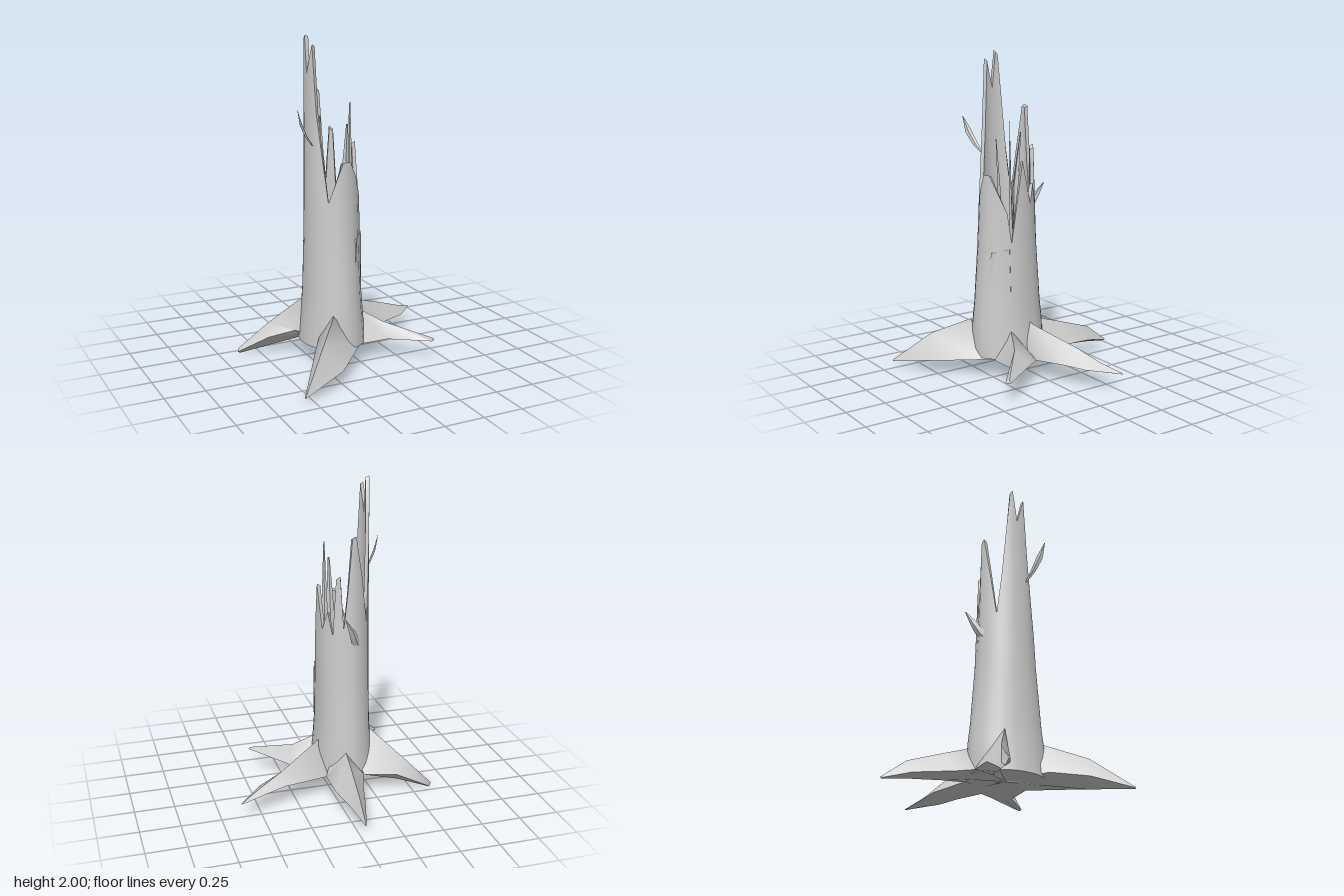
import * as THREE from 'three';
import { toCreasedNormals } from 'three/addons/utils/BufferGeometryUtils.js';

const material = new THREE.MeshStandardMaterial({ color: 0xcccccc, side: THREE.DoubleSide });

// Skin a list of closed rings (equal point counts) and cap both ends
function loft(name, rings, crease = 0.7) {
  const n = rings[0].length;
  const pts = rings.map(r => r.map(p => new THREE.Vector3(...p)));
  const centre = r => r.reduce((s, p) => s.add(p), new THREE.Vector3()).divideScalar(n);
  const first = centre(pts[0]), last = centre(pts[pts.length - 1]);
  const tris = [];
  for (let j = 0; j < n; j++) {
    const k = (j + 1) % n;
    tris.push([first, pts[0][j], pts[0][k]]);
    for (let i = 0; i + 1 < pts.length; i++) {
      const [a, b] = [pts[i], pts[i + 1]];
      tris.push([a[j], b[j], b[k]], [a[j], b[k], a[k]]);
    }
    const end = pts[pts.length - 1];
    tris.push([last, end[k], end[j]]);
  }
  // Turn every face outward by the sign of the enclosed volume
  const volume = tris.reduce((s, [a, b, c]) => s + a.dot(b.clone().cross(c)), 0);
  const solid = tris.filter(([a, b, c]) =>
    b.clone().sub(a).cross(c.clone().sub(a)).length() > 1e-9);
  if (volume < 0) solid.forEach(t => t.reverse());
  const geometry = new THREE.BufferGeometry().setFromPoints(solid.flat());
  geometry.computeVertexNormals();
  const mesh = new THREE.Mesh(toCreasedNormals(geometry, crease), material);
  mesh.name = name;
  return mesh;
}

// Trunk: elliptical wall that narrows upward
const CX = -0.11, CZ = 0.07;
const TAPER = [[0.12, 0.2, 0.24], [0.32, 0.18, 0.235], [0.45, 0.172, 0.22],
  [0.82, 0.167, 0.19], [1.25, 0.163, 0.168], [2.1, 0.163, 0.165]];

function wallPoint(deg, y, scale = 1) {
  let i = 0;
  while (i < TAPER.length - 2 && y > TAPER[i + 1][0]) i++;
  const [a, b] = [TAPER[i], TAPER[i + 1]];
  const t = (y - a[0]) / (b[0] - a[0]);
  const rad = THREE.MathUtils.degToRad(deg);
  return [
    CX + Math.cos(rad) * THREE.MathUtils.lerp(a[1], b[1], t) * scale, y,
    CZ + Math.sin(rad) * THREE.MathUtils.lerp(a[2], b[2], t) * scale,
  ];
}

// Broken rim: angle around the trunk (90 = front) and height
const RIM = [
  [-3, 1.35], [10, 1.1], [21, 0.85], [30, 1.03], [50, 1.15], [72, 1.26], [90, 1.26],
  [106, 1.15], [123, 1.02], [134, 1.27], [148, 1.55], [158, 1.95], [168, 1.86],
  [176, 1.78], [186, 2.0], [192, 1.98], [203, 1.66], [212, 1.38], [222, 1.12],
  [238, 1.4], [256, 1.67], [265, 1.66], [275, 1.32], [284, 1.1], [291, 1.43],
  [300, 1.41], [308, 1.05], [320, 1.2], [335, 1.08],
];

function buildTrunk() {
  const rows = [0.12, 0.32, 0.45, 0.82].map(y => RIM.map(([d]) => wallPoint(d, y)));
  rows.push(
    RIM.map(([d, top]) => wallPoint(d, top)),
    RIM.map(([d, top]) => wallPoint(d, top - 0.01, 0.86)),
    RIM.map(([d]) => wallPoint(d, 0.8, 0.84)),
  );
  return loft('trunk', rows, 0.75);
}

// Roots: each section is [one edge, ridge, other edge, underside]
const HUB = [[-0.09, 0.12, 0.05], [-0.1, 0.42, 0.06], [-0.11, 0.12, 0.07], [-0.1, 0.115, 0.06]];
const ROOTS = {
  backRoot: [
    [[-0.19, 0.13, -0.17], [-0.07, 0.29, -0.17], [0.05, 0.13, -0.13], [-0.07, 0.11, -0.15]],
    [[-0.15, 0.12, -0.27], [-0.06, 0.25, -0.3], [0.045, 0.12, -0.32], [-0.05, 0.09, -0.3]],
    [[-0.09, 0.1, -0.5], [-0.04, 0.18, -0.52], [0.005, 0.1, -0.5], [-0.04, 0.075, -0.51]],
    [[-0.04, 0.06, -0.665], [-0.036, 0.065, -0.67], [-0.032, 0.06, -0.665], [-0.036, 0.055, -0.665]],
  ],
  leftRoot: [
    [[0.05, 0.13, -0.13], [0.09, 0.315, 0], [0.17, 0.115, 0.04], [0.1, 0.11, -0.04]],
    [[0.34, 0.14, -0.2], [0.35, 0.21, -0.14], [0.35, 0.12, -0.04], [0.34, 0.108, -0.12]],
    [[0.48, 0.12, -0.235], [0.5, 0.15, -0.2], [0.48, 0.115, -0.1], [0.48, 0.104, -0.17]],
    [[0.625, 0.1, -0.275], [0.63, 0.103, -0.272], [0.63, 0.1, -0.265], [0.625, 0.097, -0.27]],
  ],
  frontLeftRoot: [
    [[0.17, 0.115, 0.04], [0.05, 0.3, 0.15], [0, 0.115, 0.25], [0.07, 0.11, 0.14]],
    [[0.225, 0.12, 0.12], [0.18, 0.22, 0.21], [0.19, 0.115, 0.25], [0.2, 0.11, 0.2]],
    [[0.435, 0.13, 0.405], [0.42, 0.14, 0.41], [0.405, 0.125, 0.427], [0.42, 0.12, 0.415]],
  ],
  frontRightRoot: [
    [[0, 0.115, 0.25], [-0.2, 0.335, 0.29], [-0.3, 0.14, 0.25], [-0.17, 0.1, 0.25]],
    [[-0.25, 0.09, 0.53], [-0.36, 0.235, 0.48], [-0.42, 0.11, 0.45], [-0.33, 0.06, 0.48]],
    [[-0.545, 0.03, 0.662], [-0.55, 0.036, 0.66], [-0.555, 0.03, 0.655], [-0.55, 0.025, 0.66]],
  ],
  rightRoot: [
    [[-0.33, 0.17, -0.01], [-0.28, 0.37, -0.02], [-0.19, 0.13, -0.17], [-0.26, 0.09, -0.09]],
    [[-0.47, 0.12, -0.09], [-0.46, 0.2, -0.13], [-0.4, 0.11, -0.19], [-0.43, 0.05, -0.14]],
    [[-0.638, 0.015, -0.195], [-0.625, 0.035, -0.21], [-0.605, 0.015, -0.222], [-0.62, 0.0, -0.21]],
  ],
};

// Splinter: a thin blade along a curve, w = half width, side = width direction
function splinter(name, path, side, widths) {
  const s = new THREE.Vector3(...side).normalize();
  return loft(name, path.map(([x, y, z], i) => {
    const w = widths[i];
    return [
      [x + s.x * w, y + s.y * w, z + s.z * w],
      [x - s.z * w * 0.4, y, z + s.x * w * 0.4],
      [x - s.x * w, y - s.y * w, z - s.z * w],
      [x + s.z * w * 0.4, y, z - s.x * w * 0.4],
    ];
  }), 0.4);
}

export function createModel() {
  const model = new THREE.Group();
  model.name = 'brokenStump';
  model.add(buildTrunk());

  for (const [name, sections] of Object.entries(ROOTS)) {
    model.add(loft(name, [HUB, ...sections], 1.0));
  }

  // Upright splinters inside the break
  model.add(
    splinter('tallSplinter', [[-0.01, 0.8, 0.1], [-0.01, 1.2, 0.11], [-0.008, 1.6, 0.115]],
      [1, 0, 0.3], [0.03, 0.018, 0.003]),
    splinter('frontSplinter', [[-0.07, 0.8, 0.14], [-0.06, 1.2, 0.16], [-0.058, 1.48, 0.18]],
      [1, 0, 0.2], [0.04, 0.022, 0.006]),
    splinter('backSplinter', [[-0.15, 0.8, -0.03], [-0.16, 1.15, -0.03], [-0.13, 1.5, -0.05]],
      [1, 0, 0], [0.04, 0.03, 0.004]),
  );

  // Curled splinters peeling away from the wall
  model.add(
    splinter('rightCurl', [[-0.265, 1.36, 0.14], [-0.315, 1.42, 0.165], [-0.36, 1.5, 0.19],
      [-0.39, 1.59, 0.21]], [0.5, 0.6, -0.8], [0.004, 0.015, 0.02, 0.002]),
    splinter('backCurl', [[-0.18, 0.94, -0.07], [-0.14, 1.02, -0.115], [-0.11, 1.09, -0.145],
      [-0.06, 1.18, -0.175]], [1, 0, -0.5], [0.02, 0.035, 0.025, 0.003]),
  );

  // Loose slab of bark, proud at the top and flush at the foot
  model.add(loft('barkSlab', [
    [[-0.045, 0.46, 0.26], [0.055, 0.46, 0.15], [0.03, 0.46, 0.13], [-0.06, 0.46, 0.22]],
    [[-0.025, 0.785, 0.243], [0.048, 0.81, 0.155], [0.02, 0.81, 0.13], [-0.05, 0.785, 0.21]],
  ], 0.3));

  return model;
}
